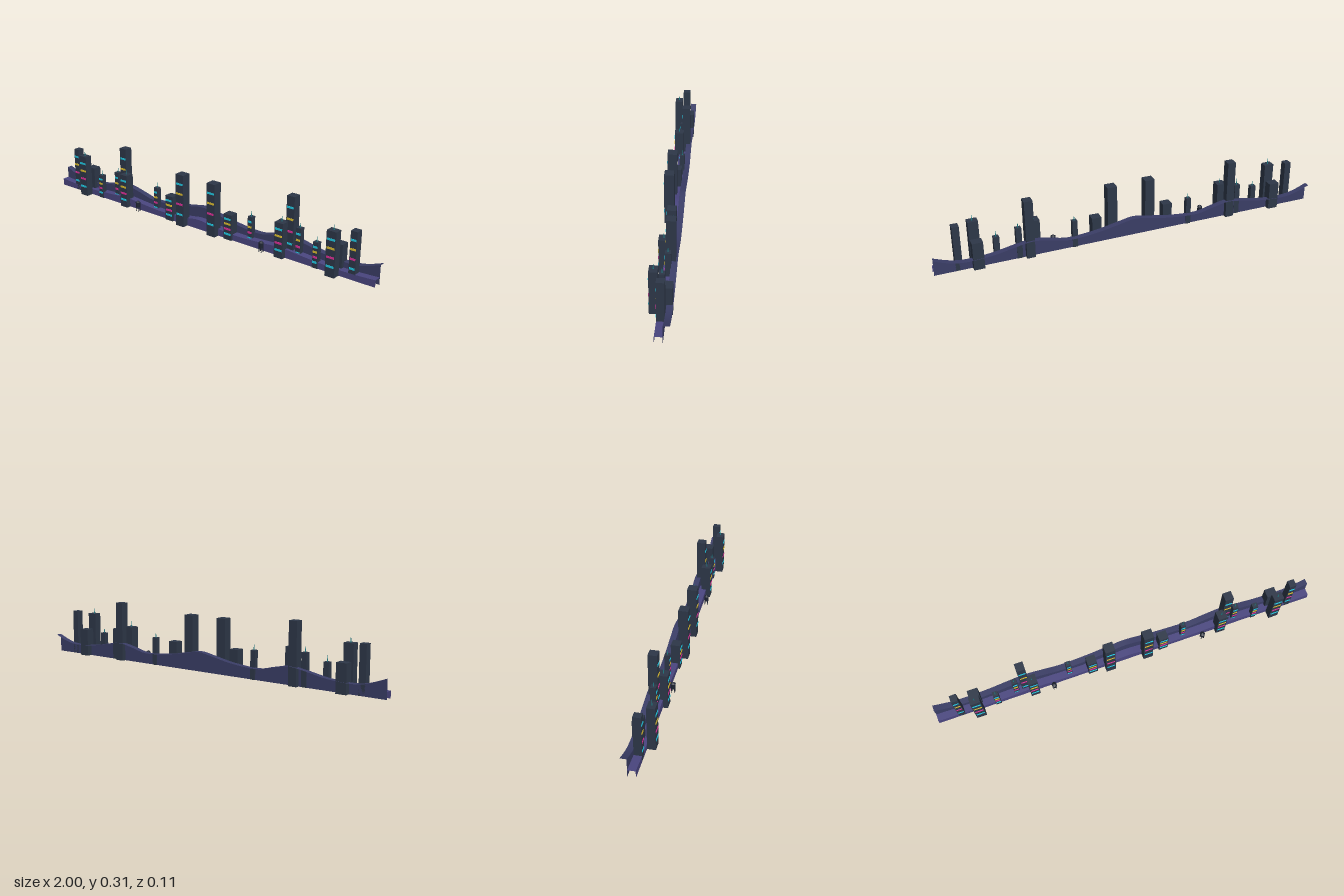
import * as THREE from 'three';

const mat = (name, color, side = THREE.FrontSide) => {
  const m = new THREE.MeshStandardMaterial({ color, side });
  m.name = name;
  return m;
};

export function createModel() {
  const model = new THREE.Group();
  model.name = 'skyline';
  const wall = mat('slateWall', 0x2d3748);
  const dark = mat('darkTank', 0x1f2533);
  const farHill = mat('farHillBlue', 0x3a3d66, THREE.DoubleSide);
  const nearHill = mat('nearHillPurple', 0x4a4680, THREE.DoubleSide);
  const cyan = mat('cyanLight', 0x22d3ee);
  const yellow = mat('yellowLight', 0xe0c030);
  const pink = mat('pinkLight', 0xe0309a);
  const teal = mat('tealAntenna', 0x1f7f88);

  const add = (parent, name, geo, material, x, y, z) => {
    const m = new THREE.Mesh(geo, material);
    m.name = name;
    m.position.set(x, y, z);
    parent.add(m);
    return m;
  };

  // Hills: an upright sheet with a ledge along its crest, open at the ends and below
  const hill = (name, material, pts, zFront, zBack) => {
    const g = new THREE.Group();
    g.name = name;
    const curve = new THREE.SplineCurve(pts.map(([x, y]) => new THREE.Vector2(x, y)));
    const n = 80;
    const sheet = (part, place) => {
      const geo = new THREE.PlaneGeometry(2, 1, n, 1);
      const p = geo.attributes.position;
      for (let i = 0; i < p.count; i++) {
        const c = curve.getPoint((p.getX(i) + 1) / 2);
        p.setXYZ(i, ...place(c, p.getY(i) > 0));
      }
      geo.computeVertexNormals();
      add(g, part, geo, material, 0, 0, 0);
    };
    sheet('hillFace', (c, top) => [c.x, top ? c.y : 0, zFront]);
    sheet('hillLedge', (c, back) => [c.x, c.y, back ? zBack : zFront]);
    model.add(g);
  };
  const mirrored = (half) => [...half.slice(1).reverse().map(([x, y]) => [-x, y]), ...half];
  hill('farHill', farHill, mirrored([
    [0, 0.105], [0.08, 0.092], [0.2, 0.07], [0.34, 0.06], [0.43, 0.078],
    [0.52, 0.094], [0.61, 0.082], [0.72, 0.062], [0.84, 0.055], [0.92, 0.066], [1, 0.095],
  ]), -0.022, -0.052);
  hill('nearHill', nearHill, mirrored([
    [0, 0.05], [0.1, 0.038], [0.25, 0.03], [0.4, 0.038], [0.5, 0.045],
    [0.62, 0.036], [0.78, 0.028], [0.9, 0.03], [1, 0.036],
  ]), 0.015, -0.022);

  // Tower with four light bands on its front and an optional antenna
  const bands = [[0.23, cyan], [0.43, pink], [0.63, yellow], [0.82, cyan]];
  const tower = (x, w, h, z0, z1, antenna, lit = true) => {
    const g = new THREE.Group();
    g.name = 'tower';
    g.position.set(x, 0, (z0 + z1) / 2);
    const d = z1 - z0;
    add(g, 'towerBody', new THREE.BoxGeometry(w, h, d), wall, 0, h / 2, 0);
    if (lit) {
      for (const [f, m] of bands) {
        add(g, 'lightBand', new THREE.BoxGeometry(w * 0.82, 0.01, 0.002), m, 0, f * h, d / 2 + 0.001);
      }
    }
    if (antenna) add(g, 'antenna', new THREE.ConeGeometry(0.003, 0.032, 6), teal, 0, h + 0.016, 0);
    model.add(g);
  };

  // Water tank on four legs
  const waterTank = (x) => {
    const g = new THREE.Group();
    g.name = 'waterTank';
    g.position.set(x, 0, 0.034);
    add(g, 'tank', new THREE.CylinderGeometry(0.012, 0.012, 0.026, 10), dark, 0, 0.036, 0);
    add(g, 'tankRoof', new THREE.ConeGeometry(0.013, 0.01, 10), dark, 0, 0.054, 0);
    for (const sx of [-1, 1]) for (const sz of [-1, 1]) {
      add(g, 'tankLeg', new THREE.BoxGeometry(0.003, 0.026, 0.003), dark, sx * 0.007, 0.013, sz * 0.007);
    }
    model.add(g);
  };

  // x, width, height, back z, front z, antenna, lit
  const towers = [
    [0.1, 0.05, 0.275, -0.003, 0.045],
    [0.19, 0.048, 0.133, -0.02, 0.025],
    [0.305, 0.026, 0.143, -0.027, -0.002, true],
    [0.5, 0.048, 0.178, -0.01, 0.038, true],
    [0.535, 0.043, 0.307, -0.043, 0],
    [0.585, 0.028, 0.163, -0.024, 0.002, true],
    [0.69, 0.028, 0.128, -0.006, 0.02, true],
    [0.79, 0.05, 0.223, 0.015, 0.054, true],
    [0.79, 0.053, 0.143, -0.049, -0.005, false, false],
    [0.88, 0.034, 0.234, -0.022, 0.015],
  ];
  for (const s of [-1, 1]) {
    for (const [x, ...rest] of towers) tower(s * x, ...rest);
    waterTank(s * 0.4);
  }
  return model;
}
